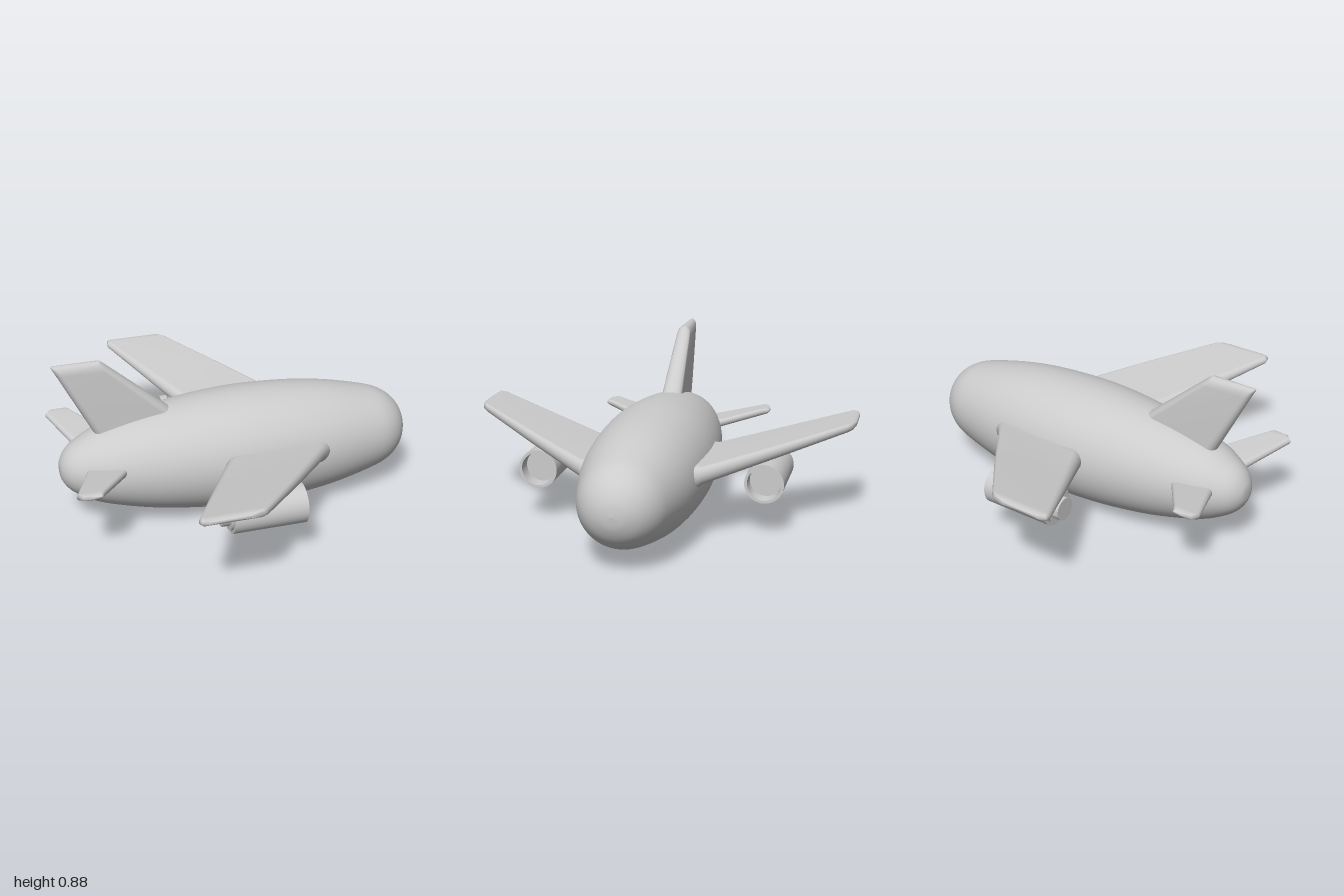
import * as THREE from 'three';
import { toCreasedNormals } from 'three/addons/utils/BufferGeometryUtils.js';

const AXIS_Y = 0.315;
const material = new THREE.MeshStandardMaterial({ color: 0xcccccc });

function part(name, geometry) {
  const mesh = new THREE.Mesh(geometry, material);
  mesh.name = name;
  return mesh;
}

// Lathe lying along x; points are [x, radius] from tail to nose
function latheX(points, segments) {
  const geometry = new THREE.LatheGeometry(points.map(([x, r]) => new THREE.Vector2(Math.max(r, 0), x)), segments);
  return geometry.rotateZ(-Math.PI / 2);
}

// Aerofoil slab lofted through sections [span, lead, trail, leadRadius, trailRadius, height].
// place(x, thickness, section) returns a point; flip reverses the winding for mirrored slabs.
function loftFoil(sections, place, flip = false) {
  const arc = 8, ring = 2 * (arc + 1), positions = [], index = [];
  const face = (a, b, c) => index.push(...(flip ? [a, c, b] : [a, b, c]));
  for (const s of sections) {
    const [, lead, trail, rl, rt] = s;
    for (let i = 0; i < ring; i++) {
      const front = i <= arc, r = front ? rl : rt;
      const a = -Math.PI / 2 + Math.PI * (front ? i / arc : 1 + (i - arc - 1) / arc);
      const centre = front ? lead - r : trail + r;
      positions.push(...place(centre + r * Math.cos(a), r * Math.sin(a), s));
    }
  }
  for (let k = 0; k < sections.length - 1; k++) {
    for (let i = 0; i < ring; i++) {
      const a = k * ring + i, b = k * ring + (i + 1) % ring;
      face(a, b, b + ring);
      face(a, b + ring, a + ring);
    }
  }
  // Tip cap
  const tip = sections[sections.length - 1];
  const base = (sections.length - 1) * ring, centre = positions.length / 3;
  positions.push(...place((tip[1] + tip[2]) / 2, 0, tip));
  for (let i = 0; i < ring; i++) face(base + i, base + (i + 1) % ring, centre);

  const geometry = new THREE.BufferGeometry();
  geometry.setAttribute('position', new THREE.Float32BufferAttribute(positions, 3));
  geometry.setIndex(index);
  geometry.computeVertexNormals();
  return geometry;
}

export function createModel() {
  const model = new THREE.Group();
  model.name = 'airplane';

  // Fuselage
  const profile = new THREE.SplineCurve([
    [-0.915, 0], [-0.908, 0.05], [-0.87, 0.107], [-0.8, 0.155], [-0.7, 0.2], [-0.5, 0.252],
    [-0.3, 0.285], [-0.1, 0.305], [0.08, 0.31], [0.3, 0.3], [0.5, 0.275], [0.7, 0.23],
    [0.8, 0.195], [0.87, 0.141], [0.911, 0.07], [0.923, 0],
  ].map(([x, r]) => new THREE.Vector2(x, r)));
  const fuselage = part('fuselage', latheX(profile.getPoints(90).map((p) => [p.x, p.y]), 64));
  fuselage.position.y = AXIS_Y;
  model.add(fuselage);

  // Wings and tailplanes, sections run outwards along z
  const wing = [
    [0.15, 0.50, -0.07, 0.05, 0.05, 0.327],
    [0.285, 0.42, -0.13, 0.058, 0.058, 0.357],
    [0.31, 0.385, -0.14, 0.046, 0.046, 0.362],
    [0.64, 0.135, -0.30, 0.033, 0.033, 0.436],
    [0.96, -0.12, -0.455, 0.021, 0.021, 0.508],
    [0.985, -0.15, -0.45, 0.017, 0.017, 0.512],
    [1.0, -0.21, -0.42, 0.008, 0.008, 0.514],
  ];
  const tailplane = [
    [0.05, -0.52, -0.77, 0.024, 0.024, 0.335],
    [0.21, -0.61, -0.825, 0.022, 0.022, 0.362],
    [0.43, -0.765, -0.905, 0.018, 0.018, 0.402],
    [0.455, -0.78, -0.88, 0.015, 0.015, 0.405],
    [0.468, -0.785, -0.83, 0.006, 0.006, 0.407],
  ];
  // Engine: stepped exhaust, round cowling and recessed intake
  const engine = toCreasedNormals(latheX([
    [-0.25, 0], [-0.25, 0.058], [-0.212, 0.058], [-0.212, 0.082], [-0.2, 0.082], [-0.2, 0.1],
    [0.17, 0.1], [0.17, 0.086], [0.1, 0.082], [0.1, 0],
  ], 40), 0.6);

  for (const [side, label] of [[1, 'left'], [-1, 'right']]) {
    const place = (x, t, s) => [x, s[5] + t, side * s[0]];
    model.add(part(label + 'Wing', loftFoil(wing, place, side < 0)));
    model.add(part(label + 'Tailplane', loftFoil(tailplane, place, side < 0)));
    const pod = part(label + 'Engine', engine);
    pod.position.set(0, 0.28, side * 0.585);
    model.add(pod);
  }

  // Fin, sections run upwards along y
  const fin = [
    [0.4, -0.13, -0.68, 0.06, 0.045],
    [0.6, -0.355, -0.781, 0.053, 0.04],
    [0.84, -0.629, -0.902, 0.038, 0.03],
    [0.868, -0.661, -0.917, 0.032, 0.025],
    [0.882, -0.677, -0.924, 0.02, 0.015],
    [0.888, -0.685, -0.924, 0.008, 0.006],
  ];
  model.add(part('fin', loftFoil(fin, (x, t, s) => [x, s[0], -t])));

  return model;
}
